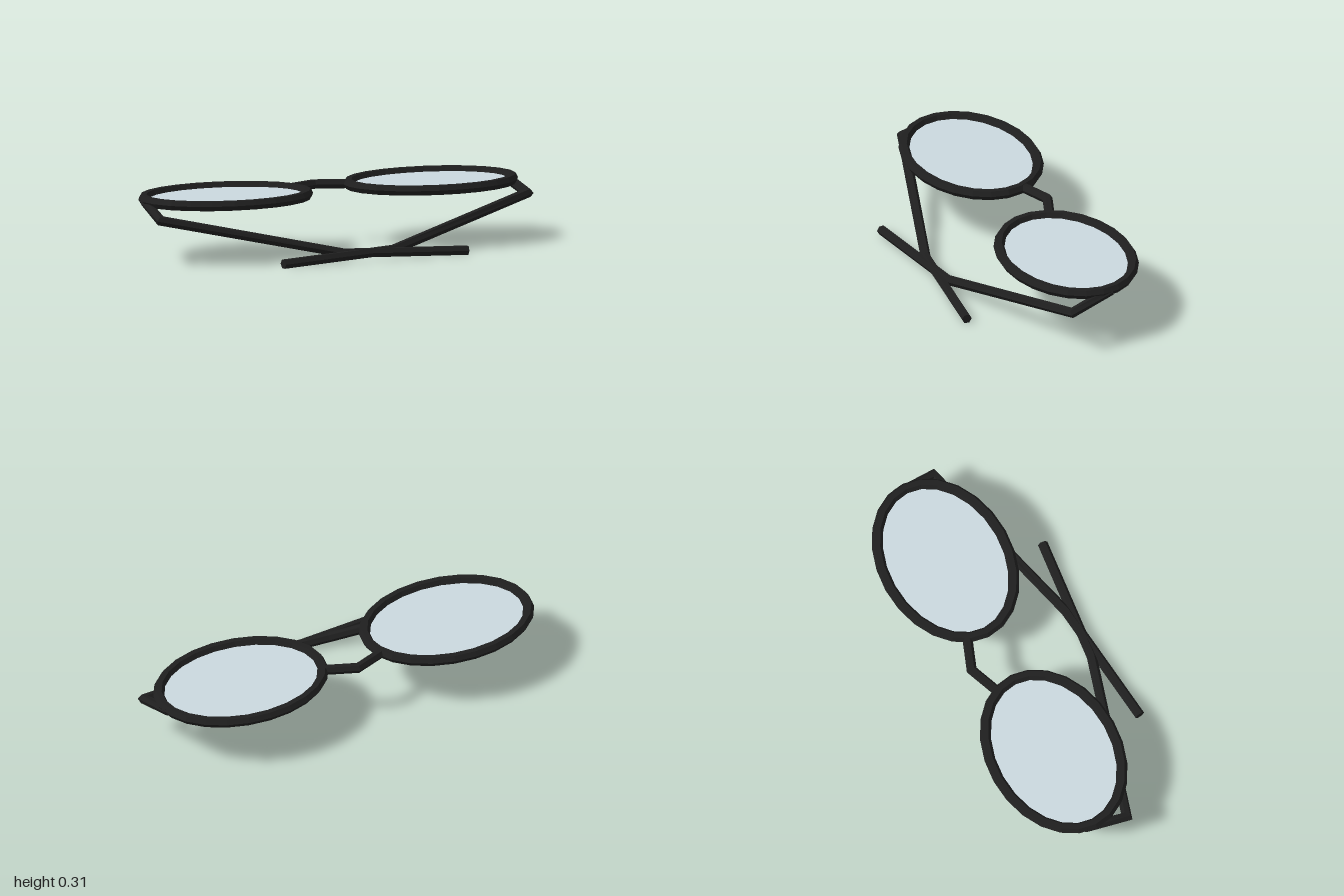
import * as THREE from 'three';

const UP = new THREE.Vector3(0, 1, 0);
const SIDES = 6;

// Sweeps a hexagonal bar along a polyline, with mitred corners
function bar(points, radius, closed = false) {
  const n = points.length;
  const pos = [];
  const index = [];
  points.forEach((p, i) => {
    const prev = points[closed ? (i + n - 1) % n : Math.max(i - 1, 0)];
    const next = points[closed ? (i + 1) % n : Math.min(i + 1, n - 1)];
    const a = p.clone().sub(prev).normalize();
    const b = next.clone().sub(p).normalize();
    const t = a.clone().add(b).normalize();
    const side = t.clone().cross(UP).normalize();
    const up = side.clone().cross(t);
    // At the open ends one direction is zero, so take the other
    const mitre = 1 / Math.max(t.dot(a), t.dot(b));
    for (let k = 0; k < SIDES; k++) {
      const angle = (k / SIDES) * Math.PI * 2;
      const v = p.clone()
        .addScaledVector(side, Math.cos(angle) * radius * mitre)
        .addScaledVector(up, Math.sin(angle) * radius);
      pos.push(v.x, v.y, v.z);
    }
  });
  const rings = closed ? n : n - 1;
  for (let i = 0; i < rings; i++) {
    for (let k = 0; k < SIDES; k++) {
      const a = i * SIDES + k;
      const b = i * SIDES + (k + 1) % SIDES;
      const c = ((i + 1) % n) * SIDES + k;
      const d = ((i + 1) % n) * SIDES + (k + 1) % SIDES;
      index.push(a, c, b, b, c, d);
    }
  }
  if (!closed) {
    const last = (n - 1) * SIDES;
    for (let k = 1; k < SIDES - 1; k++) {
      index.push(0, k, k + 1, last, last + k + 1, last + k);
    }
  }
  const geo = new THREE.BufferGeometry();
  geo.setAttribute('position', new THREE.Float32BufferAttribute(pos, 3));
  geo.setIndex(index);
  const flat = geo.toNonIndexed();
  flat.computeVertexNormals();
  return flat;
}

export function createModel() {
  const model = new THREE.Group();
  model.name = 'glasses';

  const frameMat = new THREE.MeshStandardMaterial({ color: 0x1f1f1f, flatShading: true });
  frameMat.name = 'black frame';
  const lensMat = new THREE.MeshStandardMaterial({ color: 0xcad8df, side: THREE.DoubleSide });
  lensMat.name = 'pale grey-blue lens';

  const add = (name, geo, mat) => {
    const mesh = new THREE.Mesh(geo, mat);
    mesh.name = name;
    model.add(mesh);
    return mesh;
  };
  const vec = (x, y, z) => new THREE.Vector3(x, y, z);

  const R = 0.026;
  const lensY = 0.287;
  const lensZ = -0.097;
  const rx = 0.41;
  const rz = 0.296;
  const segments = 24;

  for (const [label, s] of [['left', 1], ['right', -1]]) {
    // Oval rim lying flat
    const oval = [];
    for (let i = 0; i < segments; i++) {
      const a = (i / segments) * Math.PI * 2;
      oval.push(vec(s * 0.545 + Math.cos(a) * rx, lensY, lensZ + Math.sin(a) * rz));
    }
    add(label + 'Rim', bar(oval, R, true), frameMat);

    // Lens disc inside the rim
    const disc = new THREE.CircleGeometry(1, segments);
    disc.rotateX(-Math.PI / 2);
    disc.scale(rx, 1, rz);
    add(label + 'Lens', disc, lensMat).position.set(s * 0.545, lensY, lensZ);

    // Folded temple arm, crossing the other one in front of the lenses
    add(label + 'Temple', bar([
      vec(s * 0.952, 0.283, -0.145),
      vec(s * 0.975, 0.22, 0.066),
      vec(s * 0.13, 0.042, 0.328),
      vec(s * -0.49, 0.023, 0.394),
    ], 0.024), frameMat);
  }

  // Nose bridge with a peak in the middle
  add('bridge', bar([
    vec(-0.15, lensY, -0.19), vec(0, lensY, -0.247), vec(0.15, lensY, -0.19),
  ], 0.024), frameMat);

  return model;
}
